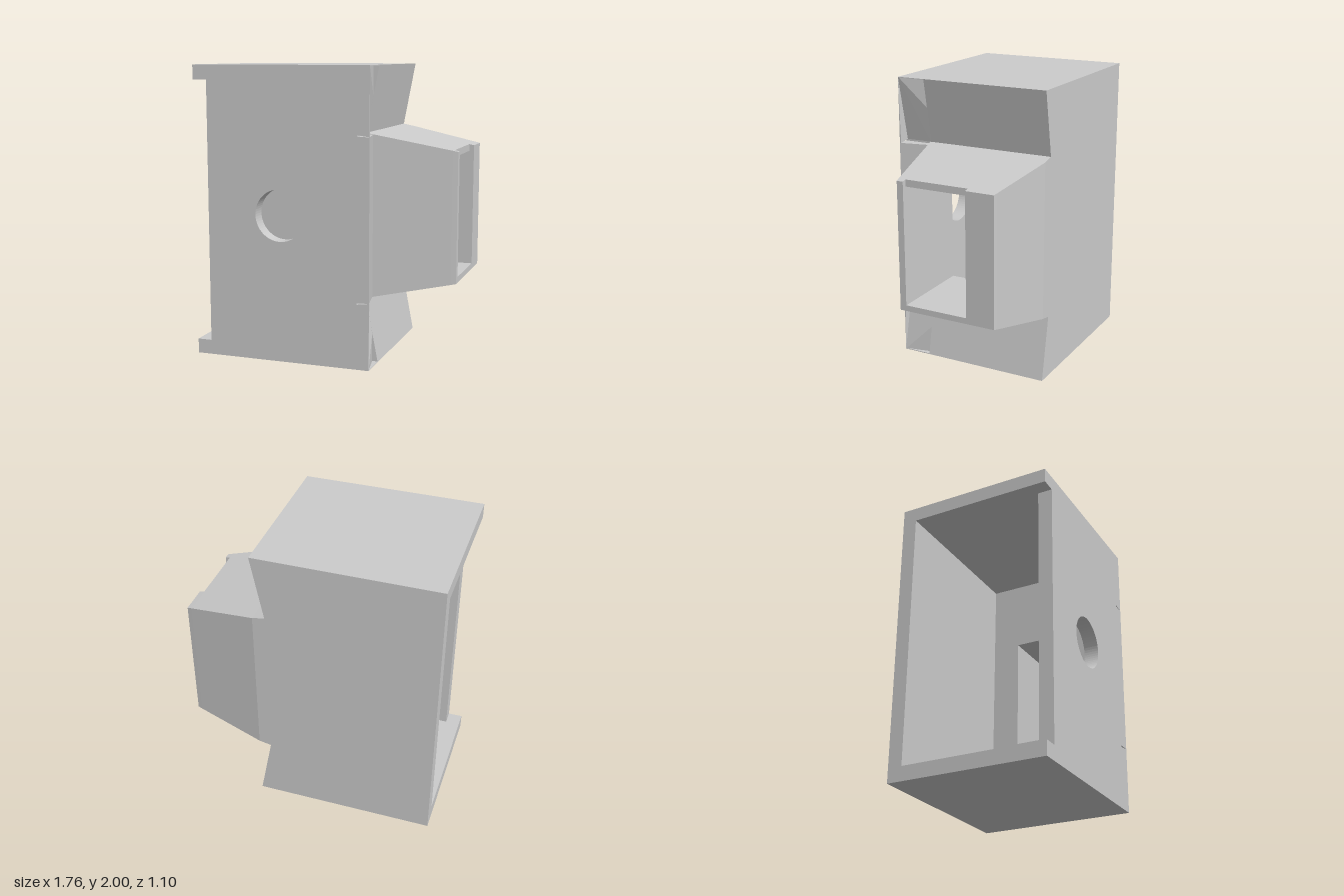
import * as THREE from 'three';
import { ConvexGeometry } from 'three/addons/geometries/ConvexGeometry.js';

const material = new THREE.MeshStandardMaterial({ color: 0xcccccc, flatShading: true });
const IN = 0.27; // x where the hollow body ends
const RIM = 0.845; // x where the spout's raised rim begins

export function createModel() {
  const group = new THREE.Group();
  const add = (name, geometry) => {
    const mesh = new THREE.Mesh(geometry, material);
    mesh.name = name;
    group.add(mesh);
    return mesh;
  };
  // Box given by its limits on each axis
  const box = (name, x0, x1, y0, y1, z0, z1) => add(name,
    new THREE.BoxGeometry(x1 - x0, y1 - y0, z1 - z0)
      .translate((x0 + x1) / 2, (y0 + y1) / 2, (z0 + z1) / 2));
  const hull = (name, points) => add(name, new ConvexGeometry(points.map(p => new THREE.Vector3(...p))));
  const polygon = (points) => new THREE.Shape(points.map(p => new THREE.Vector2(...p)));
  const rect = (a0, a1, b0, b1) => [[a0, b0], [a1, b0], [a1, b1], [a0, b1]];
  const extrude = (shape, depth) =>
    new THREE.ExtrudeGeometry(shape, { depth, bevelEnabled: false, curveSegments: 32 });
  // Extrudes a (-z, y) outline along x
  const extrudeX = (shape, x, depth) => extrude(shape, depth).rotateY(Math.PI / 2).translate(x, 0, 0);

  // Hollow body, open on the -x side
  box('backWall', -0.88, IN, 0, 2, -0.55, -0.45);
  box('topWall', -0.88, IN, 1.9, 2, -0.45, 0.55);
  box('bottomWall', -0.88, IN, 0, 0.1, -0.45, 0.55);

  // Front wall, set back from the open end, with its round hole
  const front = polygon(rect(-0.78, IN, 0.1, 1.9));
  front.holes.push(new THREE.Path().absarc(-0.255, 1.005, 0.177, 0, Math.PI * 2, true));
  add('frontWall', extrude(front, 0.1).translate(0, 0, 0.45));

  // End wall with the rectangular passage
  const end = polygon(rect(-0.55, 0.55, 0, 2));
  end.holes.push(new THREE.Path(polygon(rect(-0.2, 0.25, 0.6, 1.4)).getPoints().reverse()));
  add('endWall', extrudeX(end, IN, 0.015));

  // Slanted shoulders above and below the spout, with recessed front corners
  for (const [side, flip] of [['upper', y => y], ['lower', y => 2 - y]]) {
    const at = points => points.map(([x, y, z]) => [x, flip(y), z]);
    const profile = [[IN, 1.557], [0.285, 1.557], [0.37, 2], [IN, 2]];
    hull(side + 'Shoulder', at([-0.55, 0.35].flatMap(z => profile.map(([x, y]) => [x, y, z]))));
    hull(side + 'Corner', at([
      [0.37, 2, 0.55], [0.331, 2, 0.35], [0.331, 1.8, 0.35], [0.285, 1.557, 0.35], [0.285, 1.557, 0.55],
      [IN, 2, 0.55], [IN, 2, 0.35], [IN, 1.557, 0.35], [IN, 1.557, 0.55]]));
    // Thin skin that closes the corner recess and the front edge
    const [y0, y1] = [flip(1.995), flip(2)].sort((a, b) => a - b);
    box(side + 'Skin', IN, 0.37, y0, y1, 0.35, 0.55);
    hull(side + 'FrontWeb', at([
      [0.37, 2, 0.55], [0.37, 1.545, 0.55], [0.285, 1.557, 0.55],
      [0.37, 1.545, 0.54], [0.285, 1.557, 0.54]]));
  }

  // Slanted strip between the spout and the front face
  hull('frontStrip', [0.455, 1.545].flatMap(y =>
    [[IN, y, 0.55], [0.37, y, 0.55], [0.331, y, 0.35], [IN, y, 0.35]]));

  // Tapered spout: rectangular rings [x, y0, y1, z0, z1], outside then back through the passage
  const rings = [
    [0.28, 0.442, 1.558, -0.55, 0.357],
    [0.37, 0.46, 1.54, -0.55, 0.34],
    [RIM, 0.553, 1.447, -0.457, 0.252],
    [RIM, 0.6, 1.4, -0.25, 0.2],
    [IN, 0.6, 1.4, -0.25, 0.2],
  ];
  const positions = [];
  const index = [];
  rings.forEach(([x, y0, y1, z0, z1], i) => {
    positions.push(x, y0, z0, x, y1, z0, x, y1, z1, x, y0, z1);
    if (i === 0) return;
    for (let k = 0; k < 4; k++) {
      const a = (i - 1) * 4 + k, b = (i - 1) * 4 + (k + 1) % 4;
      index.push(a, b, b + 4, a, b + 4, a + 4);
    }
  });
  let spout = new THREE.BufferGeometry();
  spout.setAttribute('position', new THREE.Float32BufferAttribute(positions, 3));
  spout.setIndex(index);
  spout = spout.toNonIndexed();
  spout.computeVertexNormals();
  add('spout', spout);

  // Raised rim of the spout, open at the top and narrowing to its outer face
  const rim = extrudeX(polygon([
    [-0.252, 0.553], [0.457, 0.553], [0.457, 1.447], [0.25, 1.447],
    [0.25, 0.6], [-0.2, 0.6], [-0.2, 1.447], [-0.252, 1.447]]), RIM, 0.033);
  const p = rim.attributes.position;
  for (let i = 0; i < p.count; i++) {
    if (p.getX(i) < RIM + 0.01) continue;
    p.setY(i, THREE.MathUtils.clamp(p.getY(i), 0.56, 1.44));
    p.setZ(i, THREE.MathUtils.clamp(p.getZ(i), -0.45, 0.245));
  }
  rim.computeVertexNormals();
  add('spoutRim', rim);

  return group;
}
